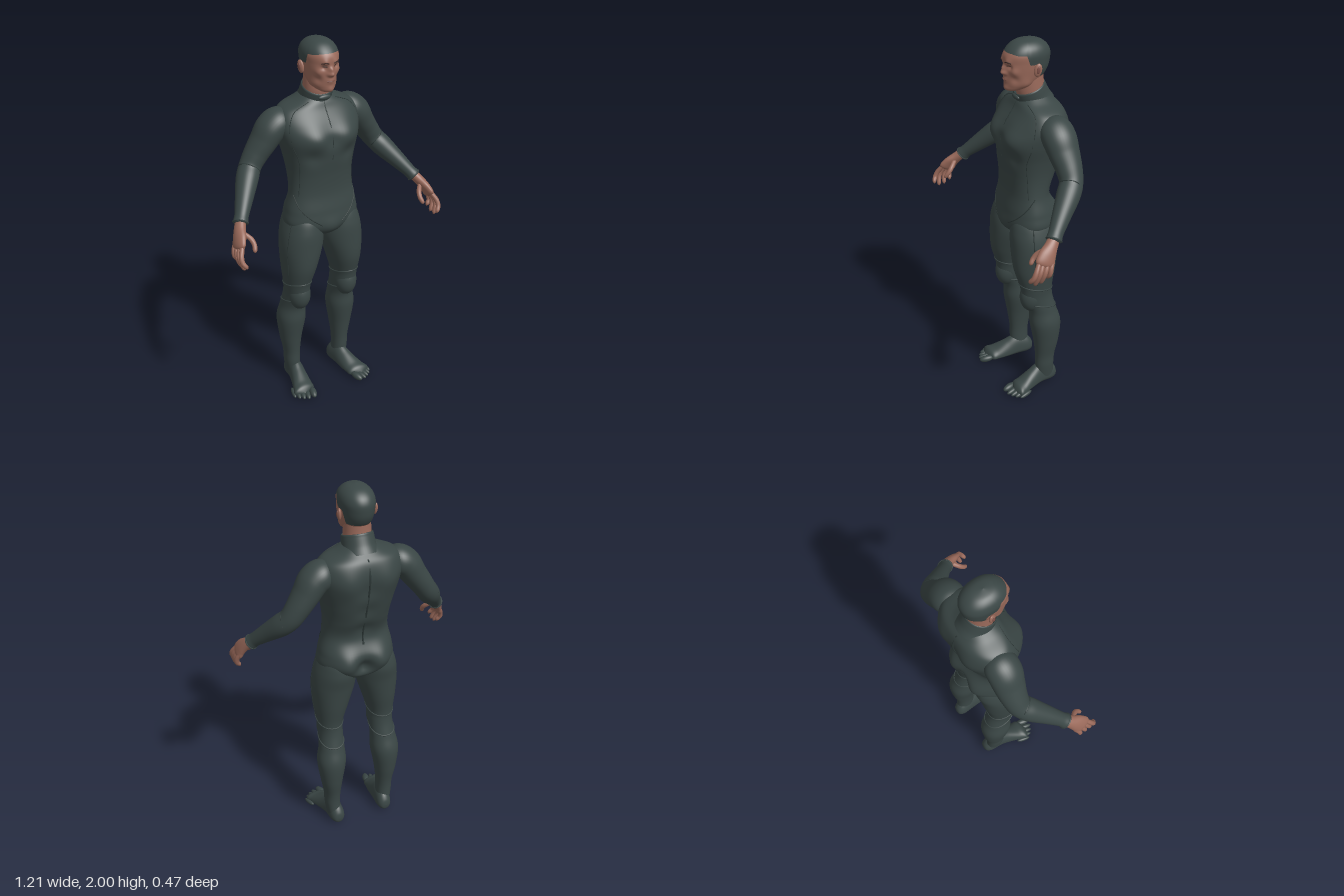
import * as THREE from 'three';

const V3 = THREE.Vector3;
const UP = new V3(0, 1, 0), FRONT = new V3(0, 0, 1);
const flat = (name, color) => Object.assign(new THREE.MeshStandardMaterial({ color }), { name });

// Catmull-Rom sample of rows [x, y, z, rSide, rFront, rBack] at a fractional row index
function sample(rows, t) {
  const n = rows.length - 1, i = Math.min(Math.floor(t), n - 1), f = t - i;
  const row = k => rows[Math.max(0, Math.min(n, k))];
  return [0, 1, 2, 3, 4, 5].map(c => {
    const [a, b, d, e] = [i - 1, i, i + 1, i + 2].map(k => row(k)[c] ?? row(k)[4] ?? row(k)[3]);
    const v = b + 0.5 * f * (d - a + f * (2 * a - 5 * b + 4 * d - e + f * (3 * (b - d) + e - a)));
    return c > 2 ? Math.max(0, v) : v;
  });
}

// Point on a lofted body; angle 0 faces front. Bumps are [x, y, z, radius, dx, dy, dz].
function pointOn({ rows, axis, ref = FRONT, pow = 1, bumps = [] }, t, angle) {
  const s = sample(rows, t), n = rows.length - 1;
  let T = axis;
  if (!T) {
    const a = sample(rows, Math.max(0, t - 0.3)), b = sample(rows, Math.min(n, t + 0.3));
    T = new V3(b[0] - a[0], b[1] - a[1], b[2] - a[2]).normalize();
  }
  const V = ref.clone().addScaledVector(T, -ref.dot(T)).normalize();
  const U = T.clone().cross(V);
  const bend = v => Math.sign(v) * Math.abs(v) ** pow;
  const c = Math.cos(angle);
  const p = new V3(s[0], s[1], s[2])
    .addScaledVector(U, s[3] * bend(Math.sin(angle)))
    .addScaledVector(V, (c > 0 ? s[4] : s[5]) * bend(c));
  const move = new V3();
  for (const [x, y, z, r, dx, dy, dz] of bumps)
    for (const m of x ? [1, -1] : [1]) {
      const w = Math.exp(-((p.x - m * x) ** 2 + (p.y - y) ** 2 + (p.z - z) ** 2) / (r * r));
      move.add(new V3(m * dx * w, dy * w, dz * w));
    }
  return p.add(move);
}

function loft(body, across = 32, along = 48, from = () => 0, to = () => body.rows.length - 1) {
  const pos = [], index = [];
  for (let i = 0; i <= along; i++)
    for (let j = 0; j < across; j++) {
      let a = (j / across) * Math.PI * 2;
      if (a > Math.PI) a -= Math.PI * 2;
      pos.push(...pointOn(body, THREE.MathUtils.lerp(from(a), to(a), i / along), a).toArray());
      if (i === along) continue;
      const k = (j + 1) % across, r = i * across, q = r + across;
      index.push(r + j, r + k, q + j, r + k, q + k, q + j);
    }
  const g = new THREE.BufferGeometry();
  g.setAttribute('position', new THREE.Float32BufferAttribute(pos, 3));
  g.setIndex(index);
  g.computeVertexNormals();
  return g;
}

function seam(body, path, radius = 0.003) {
  const curve = new THREE.CatmullRomCurve3(path.map(([t, a]) => pointOn(body, t, a)));
  return new THREE.TubeGeometry(curve, 32, radius, 6);
}

function ball(x, y, z, rx, ry, rz) {
  return new THREE.SphereGeometry(1, 32, 20).scale(rx, ry, rz).translate(x, y, z);
}

function mirrored(geometry) {
  const g = geometry.clone().applyMatrix4(new THREE.Matrix4().makeScale(-1, 1, 1));
  g.setIndex(Array.from(g.index.array).reverse());
  return g;
}

export function createModel() {
  const model = new THREE.Group();
  model.name = 'man';
  const suit = flat('suit', 0x3a4645), seamMat = flat('seam', 0x2e3938), hairMat = flat('hair', 0x3b4746);
  const skin = flat('skin', 0x99695a), lip = flat('lips', 0x7d5048), dark = flat('eyes and brows', 0x3c2a26);
  const add = (name, geometry, material) => {
    const mesh = new THREE.Mesh(geometry, material);
    mesh.name = name;
    model.add(mesh);
  };
  const pair = (name, geometry, material) => {
    add(name + 'Left', geometry, material);
    add(name + 'Right', mirrored(geometry), material);
  };

  // Torso
  const torso = { axis: UP, pow: 0.88, rows: [
    [0, 0.925, -0.03, 0, 0, 0], [0, 0.96, -0.03, 0.1, 0.08, 0.11], [0, 1.02, -0.03, 0.2, 0.12, 0.135],
    [0, 1.1, -0.03, 0.2, 0.118, 0.14], [0, 1.2, -0.03, 0.178, 0.105, 0.112], [0, 1.3, -0.04, 0.175, 0.12, 0.138],
    [0, 1.4, -0.05, 0.19, 0.145, 0.16], [0, 1.5, -0.06, 0.217, 0.162, 0.165], [0, 1.58, -0.075, 0.23, 0.14, 0.148],
    [0, 1.645, -0.085, 0.2, 0.11, 0.125], [0, 1.685, -0.085, 0.115, 0.09, 0.095], [0, 1.72, -0.085, 0.06, 0.06, 0.06]],
  bumps: [
    [0.1, 1.53, 0.09, 0.075, 0, 0, 0.02], [0, 1.5, 0.11, 0.04, 0, 0, -0.012], [0.1, 1.42, 0.08, 0.045, 0, 0, -0.01],
    [0.1, 1.05, -0.16, 0.08, 0, 0, -0.035], [0, 1.03, -0.18, 0.045, 0, 0, 0.04],
    [0.11, 1.55, -0.21, 0.08, 0, 0, -0.018], [0, 1.5, -0.22, 0.06, 0, 0, 0.014],
    [0, 1.38, -0.2, 0.06, 0, 0, 0.016], [0, 1.26, -0.16, 0.05, 0, 0, 0.012], [0, 1.0, 0.08, 0.05, 0, 0, 0.012]] };
  add('torso', loft(torso, 80, 100), suit);
  add('frontZip', seam(torso, [[10.2, 0], [9, 0], [8, 0], [7, 0], [6, 0]]), seamMat);
  add('spineSeam', seam(torso, [[9.5, Math.PI], [8, Math.PI], [6, Math.PI], [4, Math.PI], [3.6, Math.PI]], 0.005), seamMat);
  pair('hipSeam', seam(torso, [[4, 1.4], [3.4, 1.0], [2.8, 0.6], [2.2, 0.25]]), seamMat);
  pair('sideSeam', seam(torso, [[4, 1.1], [5, 1.05], [6, 1.0], [6.8, 1.1]], 0.002), seamMat);
  pair('shoulderSeam', seam(torso, [[10, 0.7], [9, 0.9], [8, 1.0], [7, 1.1]], 0.002), seamMat);

  // Collar and neck, leaning forward
  const lean = new V3(0, 0.94, 0.34).normalize();
  add('collar', loft({ axis: lean, rows: [
    [0, 1.655, -0.095, 0.1, 0.1, 0.1], [0, 1.69, -0.082, 0.086, 0.088, 0.09], [0, 1.73, -0.067, 0.082, 0.085, 0.085],
    [0, 1.745, -0.062, 0.08, 0.083, 0.083], [0, 1.745, -0.062, 0.074, 0.076, 0.077], [0, 1.7, -0.08, 0.07, 0.07, 0.07]] }, 48, 40), suit);
  add('collarTab', ball(0, 1.705, 0.012, 0.035, 0.014, 0.012), suit);
  add('neck', loft({ axis: lean, rows: [
    [0, 1.68, -0.085, 0.07, 0.07], [0, 1.75, -0.063, 0.07, 0.07, 0.078], [0, 1.84, -0.06, 0.066, 0.06, 0.075]] }, 40, 20), skin);

  // Head: face below the hairline, close-cropped hair above it
  const head = { axis: UP, pow: 0.93, rows: [
    [0, 1.742, 0.025, 0, 0, 0], [0, 1.75, 0.022, 0.034, 0.036, 0.04], [0, 1.775, -0.01, 0.06, 0.076, 0.07],
    [0, 1.81, -0.03, 0.073, 0.1, 0.1], [0, 1.85, -0.04, 0.081, 0.111, 0.117], [0, 1.89, -0.045, 0.085, 0.12, 0.122],
    [0, 1.93, -0.045, 0.087, 0.117, 0.122], [0, 1.965, -0.045, 0.074, 0.092, 0.102],
    [0, 1.99, -0.045, 0.044, 0.054, 0.062], [0, 2.0, -0.045, 0, 0, 0]],
  bumps: [
    [0, 1.846, 0.078, 0.015, 0, -0.002, 0.027], [0, 1.868, 0.076, 0.013, 0, 0, 0.014], [0.014, 1.842, 0.075, 0.01, 0, 0, 0.008],
    [0.032, 1.9, 0.07, 0.02, 0, 0, 0.008], [0.033, 1.88, 0.066, 0.015, 0, 0, -0.013],
    [0.055, 1.853, 0.045, 0.022, 0.005, 0, 0.006], [0.05, 1.815, 0.04, 0.02, -0.004, 0, -0.004],
    [0, 1.808, 0.07, 0.02, 0, 0, 0.009], [0, 1.764, 0.06, 0.022, 0, 0, 0.012], [0.066, 1.785, -0.01, 0.03, 0.006, 0, 0]] };
  const hairline = a => {
    const step = THREE.MathUtils.smoothstep, b = Math.abs(a);
    return 6.4 - 0.2 * step(b, 0.4, 1.0) - 1.3 * step(b, 1.25, 1.45) - 1.7 * step(b, 1.75, 2.1);
  };
  add('face', loft(head, 128, 90, () => 0, hairline), skin);
  add('hair', loft(head, 128, 40, hairline), hairMat);
  pair('ear', ball(0, 0, 0, 0.011, 0.034, 0.02).rotateX(-0.2).rotateY(-0.3).translate(0.092, 1.86, -0.062), skin);
  pair('earHollow', ball(0, 0, 0, 0.004, 0.019, 0.009).rotateX(-0.2).rotateY(-0.3).translate(0.1025, 1.864, -0.06), lip);
  pair('brow', seam(head, [[5.22, 0.14], [5.33, 0.32], [5.22, 0.55]], 0.003), dark);
  pair('eye', seam(head, [[4.76, 0.2], [4.8, 0.3], [4.76, 0.42]], 0.003), dark);
  add('mouth', seam(head, [[2.93, -0.24], [2.97, 0], [2.93, 0.24]], 0.003), lip);

  // Arms
  const arm = { rows: [
    [0.13, 1.6, -0.1, 0.03], [0.19, 1.588, -0.1, 0.072, 0.08], [0.245, 1.555, -0.1, 0.077, 0.088],
    [0.29, 1.49, -0.105, 0.068, 0.08], [0.335, 1.425, -0.108, 0.061, 0.068], [0.372, 1.37, -0.1, 0.056, 0.06],
    [0.407, 1.325, -0.065, 0.056, 0.06], [0.46, 1.258, 0.0, 0.045, 0.048], [0.505, 1.2, 0.055, 0.035, 0.038],
    [0.525, 1.172, 0.078, 0.034, 0.037], [0.526, 1.17, 0.08, 0, 0]] };
  pair('arm', loft(arm, 40, 90), suit);
  pair('elbowSeam', seam(arm, [[5.4, -2.6], [5.1, -1.6], [5, -0.5], [5.2, 0.6], [5.4, 1.6]], 0.003), seamMat);
  pair('cuff', seam(arm, Array.from({ length: 17 }, (_, i) => [8.8, i * Math.PI / 8]), 0.004), suit);

  // Hands: palm, four curled fingers and thumb
  pair('palm', loft({ rows: [
    [0.515, 1.19, 0.065, 0.026, 0.028], [0.54, 1.155, 0.1, 0.026, 0.034], [0.56, 1.12, 0.133, 0.024, 0.046],
    [0.574, 1.085, 0.153, 0.019, 0.047], [0.577, 1.07, 0.16, 0, 0]] }, 32, 30), skin);
  const finger = pts => loft({ rows: pts.map((p, i) => [...p, [0.012, 0.013, 0.0125, 0.0105, 0][i]]) }, 14, 24);
  [[0.19, 1.0, 0.04], [0.167, 0.982, 0.036], [0.142, 0.985, 0.03], [0.118, 1.003, 0.02]].forEach(([z, tip, d], i) =>
    pair('finger' + (i + 1), finger([
      [0.568, 1.1, z - 0.012], [0.587, 1.065, z + d * 0.3], [0.59, 1.035, z + d * 0.7],
      [0.576, tip + 0.012, z + d], [0.57, tip, z + d]]), skin));
  pair('thumb', finger([
    [0.535, 1.14, 0.12], [0.508, 1.115, 0.15], [0.5, 1.09, 0.172], [0.506, 1.065, 0.19], [0.509, 1.055, 0.194]]), skin);

  // Legs with knee pads
  const leg = { axis: UP, pow: 0.95, rows: [
    [0.15, 0.05, -0.09, 0.038, 0.055], [0.157, 0.13, -0.087, 0.042, 0.054, 0.052], [0.158, 0.2, -0.087, 0.045, 0.055, 0.057],
    [0.161, 0.3, -0.09, 0.06, 0.07, 0.072], [0.158, 0.42, -0.085, 0.077, 0.085, 0.086], [0.152, 0.51, -0.075, 0.068, 0.08, 0.072],
    [0.147, 0.6, -0.045, 0.065, 0.09, 0.08], [0.147, 0.67, -0.035, 0.07, 0.092, 0.088], [0.137, 0.78, -0.03, 0.092, 0.117, 0.112],
    [0.122, 0.9, -0.03, 0.112, 0.124, 0.128], [0.112, 1.0, -0.03, 0.105, 0.12, 0.145], [0.1, 1.08, -0.03, 0.08, 0.09, 0.12],
    [0.1, 1.12, -0.03, 0, 0, 0]] };
  pair('leg', loft(leg, 48, 100), suit);
  pair('kneePad', ball(0.147, 0.6, -0.012, 0.061, 0.092, 0.07).rotateX(0), suit);
  const ring = t => Array.from({ length: 21 }, (_, i) => [t + 0.25 * Math.cos(i * Math.PI / 10), i * Math.PI / 10]);
  pair('kneeBandUpper', seam(leg, ring(6.95), 0.004), suit);
  pair('kneeBandLower', seam(leg, ring(5.45), 0.004), suit);
  pair('legSeam', seam(leg, [[7.4, 1.3], [8, 1.25], [9, 1.2], [10, 1.2], [10.5, 1.2]]), seamMat);

  // Feet with toes, turned outward
  pair('foot', loft({ axis: FRONT, ref: UP, rows: [
    [0.143, 0.045, -0.164, 0, 0, 0], [0.143, 0.045, -0.156, 0.026, 0.035, 0.03], [0.144, 0.045, -0.125, 0.041, 0.07, 0.04],
    [0.148, 0.043, -0.06, 0.043, 0.09, 0.036], [0.158, 0.034, 0.0, 0.05, 0.07, 0.028], [0.172, 0.028, 0.06, 0.058, 0.044, 0.025],
    [0.182, 0.026, 0.098, 0.058, 0.03, 0.022], [0.186, 0.024, 0.12, 0, 0, 0]] }, 40, 50), suit);
  [[0.145, 0.167, 0.019], [0.176, 0.16, 0.014], [0.199, 0.147, 0.0135], [0.219, 0.13, 0.013], [0.236, 0.108, 0.012]]
    .forEach(([x, z, r], i) => pair('toe' + (i + 1), ball(0, 0, 0, r, r, 0.04).rotateX(0.12).rotateY(0.25)
      .translate(x, r + 0.005, z - 0.038), suit));
  return model;
}
